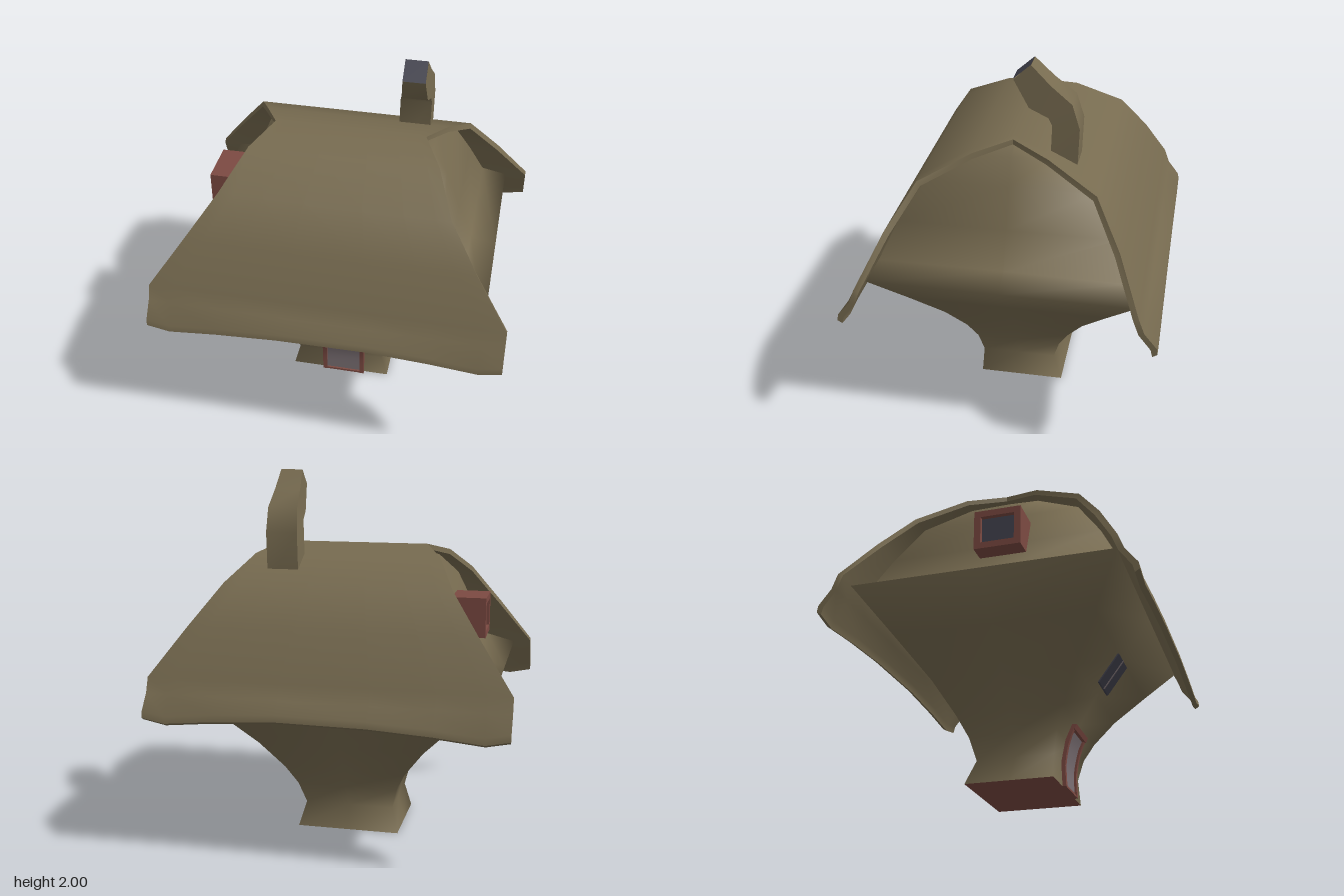
import * as THREE from 'three';
import { toCreasedNormals } from 'three/addons/utils/BufferGeometryUtils.js';

const mat = (name, color, side = THREE.FrontSide) => {
  const m = new THREE.MeshStandardMaterial({ color, side });
  m.name = name;
  return m;
};

// Skin through closed rings of [x, y, z] points; extra faces index ring points.
function loft(rings, extra = []) {
  const n = rings[0].length, index = [];
  for (let i = 0; i < rings.length - 1; i++) {
    for (let j = 0; j < n; j++) {
      const k = (j + 1) % n;
      const a = i * n + j, b = i * n + k, c = b + n, d = a + n;
      index.push(a, b, c, a, c, d);
    }
  }
  for (const [a, b, c, d] of extra) index.push(a, b, c, a, c, d);
  const g = new THREE.BufferGeometry();
  g.setAttribute('position', new THREE.Float32BufferAttribute(rings.flat(2), 3));
  g.setIndex(index);
  g.computeVertexNormals();
  return g;
}

// Rectangular ring, two segments per side
const rectRing = (y, x0, x1, z0, z1) => {
  const xm = (x0 + x1) / 2, zm = (z0 + z1) / 2;
  return [[x0, z1], [xm, z1], [x1, z1], [x1, zm], [x1, z0], [xm, z0], [x0, z0], [x0, zm]]
    .map(([x, z]) => [x, y, z]);
};

// Body levels: y, left/right x, back/front z
const LEVELS = [
  [0, -0.30, 0.27, -0.25, 0.22],
  [0.13, -0.26, 0.235, -0.20, 0.215],
  [0.25, -0.29, 0.275, -0.235, 0.24],
  [0.36, -0.345, 0.335, -0.29, 0.29],
  [0.52, -0.46, 0.455, -0.385, 0.385],
  [0.72, -0.64, 0.635, -0.535, 0.535],
  [0.93, -0.85, 0.83, -0.695, 0.695],
  [0.98, -0.69, 0.69, -0.665, 0.665],
  [1.18, -0.61, 0.61, -0.57, 0.57],
  [1.39, -0.53, 0.53, -0.435, 0.435],
  [1.52, -0.45, 0.45, -0.19, 0.19],
  [1.57, -0.38, 0.38, -0.01, 0.01],
];

// Front wall depth at a height
function wallZ(y) {
  let i = 0;
  while (i < LEVELS.length - 2 && y > LEVELS[i + 1][0]) i++;
  const a = LEVELS[i], b = LEVELS[i + 1];
  return THREE.MathUtils.lerp(a[4], b[4], (y - a[0]) / (b[0] - a[0]));
}

// Thin slab bent to follow the front wall
function wallSlab(x0, x1, y0, y1, offset, depth) {
  const g = new THREE.BoxGeometry(x1 - x0, y1 - y0, depth, 1, 6, 1);
  g.translate((x0 + x1) / 2, (y0 + y1) / 2, 0);
  const p = g.attributes.position;
  for (let i = 0; i < p.count; i++) p.setZ(i, p.getZ(i) + wallZ(p.getY(i)) + offset);
  return toCreasedNormals(g.toNonIndexed(), 0.7);
}

// Roof profile from eave to ridge: half width, outer z/y, inner z/y
const ROOF = [
  [0.95, 0.82, 0.775, 0.795, 0.76],
  [0.95, 0.815, 0.81, 0.785, 0.80],
  [0.95, 0.75, 0.87, 0.722, 0.86],
  [0.95, 0.72, 0.95, 0.692, 0.94],
  [0.77, 0.60, 1.20, 0.575, 1.18],
  [0.61, 0.46, 1.42, 0.442, 1.395],
  [0.51, 0.20, 1.55, 0.19, 1.522],
  [0.41, 0, 1.60, 0, 1.572],
];

function roofGeometry() {
  const back = ROOF.map(([w, oz, oy, iz, iy], i) => ({ w, oz: -oz, oy, iz: -iz, iy, eave: i < 2 }));
  const front = back.slice(0, -1).reverse().map((p) => ({ ...p, oz: -p.oz, iz: -p.iz }));
  const prof = [...back, ...front], n = prof.length;
  // Columns across the width, with how far the eave sags at each
  const cols = [[-1, 0.025], [-0.87, 0.05], [-0.6, 0.025], [-0.25, 0.005], [0.25, 0],
    [0.6, 0.02], [0.87, 0.045], [1, 0.02]];
  const rings = cols.map(([t, sag]) => [
    ...prof.map((p) => [p.w * t, p.oy - (p.eave ? sag : 0), p.oz]),
    ...prof.map((p) => [p.w * t, p.iy - (p.eave ? sag : 0), p.iz]).reverse(),
  ]);
  // Gable edges closing the shell
  const caps = [], last = (cols.length - 1) * 2 * n;
  for (let k = 0; k < n - 1; k++) {
    const q = [k, k + 1, 2 * n - 2 - k, 2 * n - 1 - k];
    caps.push(q.map((v) => v + last), [...q].reverse());
  }
  return toCreasedNormals(loft(rings, caps), 0.75);
}

export function createModel() {
  const model = new THREE.Group();
  const brown = mat('brown', 0x776b50, THREE.DoubleSide);
  const red = mat('dull red', 0x7c4a42);
  const grey = mat('mauve grey', 0x7a6f73);
  const slate = mat('dark slate', 0x43434f);
  const add = (name, geo, material, parent = model) => {
    const m = new THREE.Mesh(geo, material);
    m.name = name;
    parent.add(m);
    return m;
  };
  const group = (name) => {
    const g = new THREE.Group();
    g.name = name;
    model.add(g);
    return g;
  };

  // Flared walls with recessed gables, and the floor
  add('walls', loft(LEVELS.map((l) => rectRing(...l))), brown);
  const floor = add('floor', new THREE.PlaneGeometry(0.57, 0.47), red);
  floor.rotation.x = Math.PI / 2;
  floor.position.set(-0.015, 0, -0.015);

  add('roof', roofGeometry(), brown);

  // Crooked chimney: half width, back z/y, front z/y
  const flue = [
    [0.085, -0.33, 1.40, -0.19, 1.40],
    [0.085, -0.34, 1.68, -0.20, 1.69],
    [0.08, -0.30, 1.81, -0.18, 1.73],
    [0.07, -0.19, 1.90, -0.08, 1.775],
    [0.06, -0.09, 2.00, 0, 1.92],
  ].map(([w, bz, by, fz, fy], i) => {
    const cx = 0.32 + i * 0.003;
    return [[cx - w, fy, fz], [cx + w, fy, fz], [cx + w, by, bz], [cx - w, by, bz]];
  });
  add('chimney', toCreasedNormals(loft(flue), 0.9), brown);
  const lid = flue[4].map(([x, y, z]) => [x, y + 0.002, z + 0.002]);
  add('chimneyOpening', loft([lid], [[0, 1, 2, 3]]).toNonIndexed(), slate);

  // Front door
  const door = group('door');
  add('doorPanel', wallSlab(-0.1, 0.11, 0.005, 0.31, 0.004, 0.008), grey, door);
  add('doorPostRight', wallSlab(-0.12, -0.095, 0, 0.33, 0.008, 0.024), red, door);
  add('doorPostLeft', wallSlab(0.105, 0.13, 0, 0.33, 0.008, 0.024), red, door);
  add('doorLintel', wallSlab(-0.12, 0.13, 0.305, 0.33, 0.01, 0.03), red, door);
  add('doorSill', wallSlab(-0.1, 0.11, 0, 0.012, 0.008, 0.02), red, door);

  // Front window
  const win = group('frontWindow');
  add('windowPane', wallSlab(-0.1, 0.11, 0.56, 0.71, 0.006, 0.009), slate, win);
  add('windowBar', wallSlab(0, 0.01, 0.56, 0.71, 0.012, 0.006), grey, win);

  // Gable window box on the right-hand end
  const gable = group('gableWindow');
  const box = (name, sx, sy, sz, x, y, z, m) =>
    add(name, new THREE.BoxGeometry(sx, sy, sz), m, gable).position.set(x, y, z);
  const cy = 1.21, cz = 0.055;
  for (const s of [-1, 1]) {
    box('windowBoxSide', 0.24, 0.22, 0.035, -0.625, cy, cz + s * 0.108, red);
    box('windowBoxRail', 0.24, 0.035, 0.25, -0.625, cy + s * 0.0925, cz, red);
  }
  box('gablePane', 0.008, 0.16, 0.19, -0.715, cy, cz, slate);

  return model;
}
